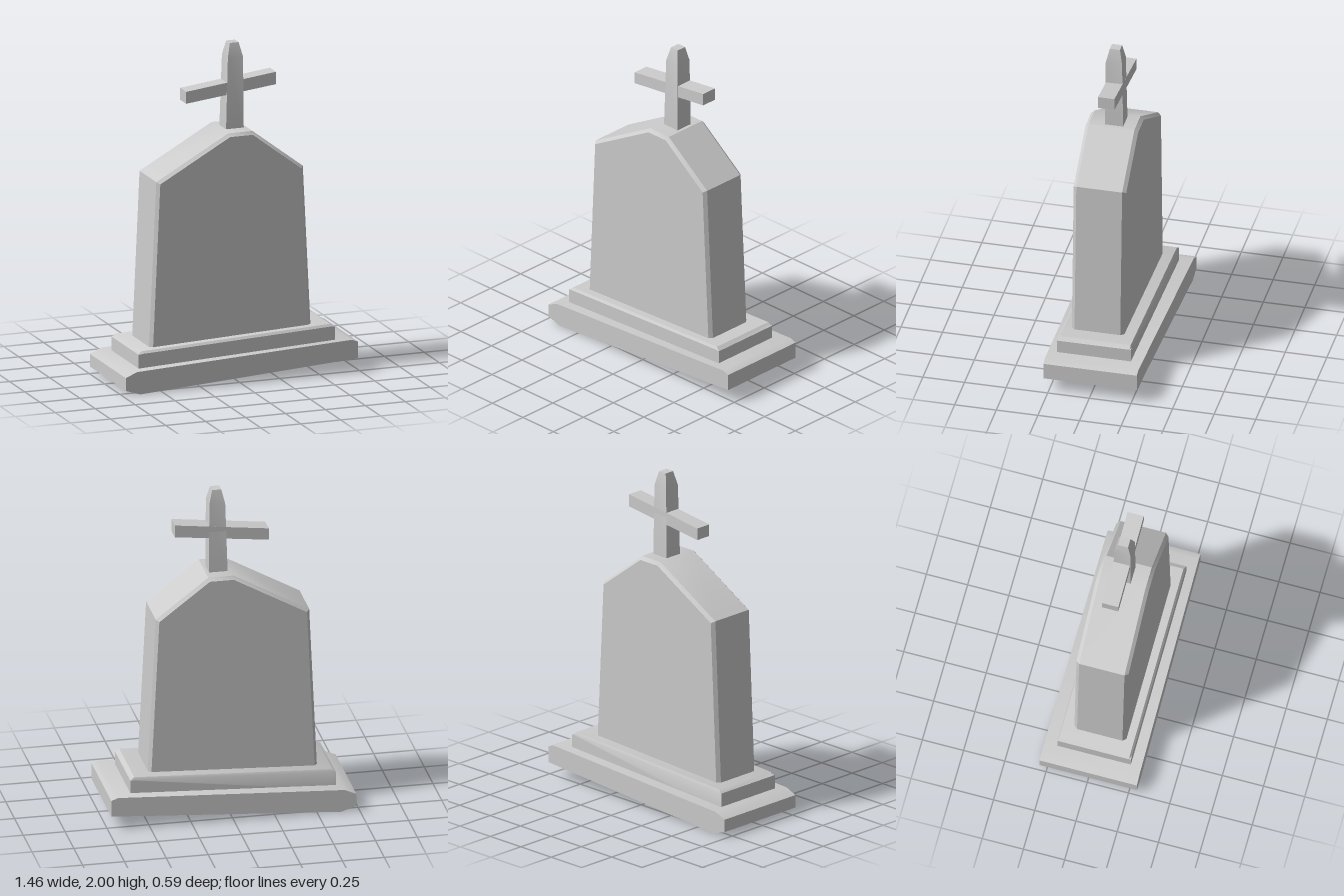
import * as THREE from 'three';
import { toCreasedNormals } from 'three/addons/utils/BufferGeometryUtils.js';

const material = new THREE.MeshStandardMaterial({ color: 0xcccccc });

// Skin a series of convex rings (counter-clockwise seen from the first end) and cap both ends
function loft(name, rings) {
  const n = rings[0].length;
  const index = [];
  for (let r = 0; r < rings.length - 1; r++) {
    for (let i = 0; i < n; i++) {
      const j = (i + 1) % n;
      const a = r * n + i, b = r * n + j, c = a + n, d = b + n;
      index.push(a, c, d, a, d, b);
    }
  }
  const last = (rings.length - 1) * n;
  for (let i = 1; i < n - 1; i++) {
    index.push(0, i, i + 1, last, last + i + 1, last + i);
  }
  const geometry = new THREE.BufferGeometry();
  geometry.setAttribute('position', new THREE.Float32BufferAttribute(rings.flat(2), 3));
  geometry.setIndex(index);
  const mesh = new THREE.Mesh(toCreasedNormals(geometry, 0.56), material);
  mesh.name = name;
  return mesh;
}

// Move every edge of a counter-clockwise outline inwards by d
function inset(outline, d) {
  const n = outline.length;
  const normal = (p, q) => {
    const l = Math.hypot(q[0] - p[0], q[1] - p[1]);
    return [-(q[1] - p[1]) / l, (q[0] - p[0]) / l];
  };
  return outline.map((p, i) => {
    const u = normal(outline[(i + n - 1) % n], p);
    const v = normal(p, outline[(i + 1) % n]);
    const k = d / (1 + u[0] * v[0] + u[1] * v[1]);
    return [p[0] + (u[0] + v[0]) * k, p[1] + (u[1] + v[1]) * k];
  });
}

const atZ = (outline, z) => outline.map(([x, y]) => [x, y, z]);

export function createModel() {
  const group = new THREE.Group();
  group.name = 'gravestone';

  // Tilted lower slab, a little shallower towards +x
  const lower = [[-0.73, 0.03], [-0.64, 0], [0.73, 0.085], [0.73, 0.185],
    [0.69, 0.2], [-0.66, 0.137], [-0.73, 0.107]];
  const depth = (x) => 0.288 - 0.01 * x;
  group.add(loft('lowerSlab', [1, -1].map((s) =>
    lower.map(([x, y]) => [x, y, s * depth(x)]))));

  // Upper slab with bevelled top edges
  const upper = [[-0.625, 0.11], [0.603, 0.17], [0.603, 0.275],
    [0.578, 0.292], [-0.6, 0.239], [-0.625, 0.222]];
  const lowered = upper.map(([x, y], i) => (i === 3 || i === 4 ? [x, y - 0.014] : [x, y]));
  group.add(loft('upperSlab', [
    atZ(lowered, 0.23), atZ(upper, 0.219), atZ(upper, -0.208), atZ(lowered, -0.215)]));

  // Headstone with gabled top and bevelled front and back edges
  const stone = [[-0.533, 0.19], [0.482, 0.24], [0.432, 1.247],
    [0.118, 1.487], [-0.035, 1.487], [-0.485, 1.235]];
  const face = inset(stone, 0.018);
  group.add(loft('headstone', [
    atZ(face, 0.173), atZ(stone, 0.153), atZ(stone, -0.122), atZ(face, -0.143)]));

  // Cross post, tapering to a blunt tip
  const post = [[2, 0.02, 0.075, -0.025, 0.036], [1.915, 0, 0.095, -0.042, 0.056],
    [1.45, -0.014, 0.098, -0.05, 0.061]];
  const cross = new THREE.Group();
  cross.name = 'cross';
  cross.add(loft('crossPost', post.map(([y, x0, x1, z0, z1]) =>
    [[x0, y, z1], [x1, y, z1], [x1, y, z0], [x0, y, z0]])));

  // Slanted cross arm
  const arm = [[-0.26, 1.663], [0.302, 1.728], [0.302, 1.803], [-0.26, 1.735]];
  cross.add(loft('crossArm', [atZ(arm, 0.054), atZ(arm, -0.045)]));
  group.add(cross);

  return group;
}
